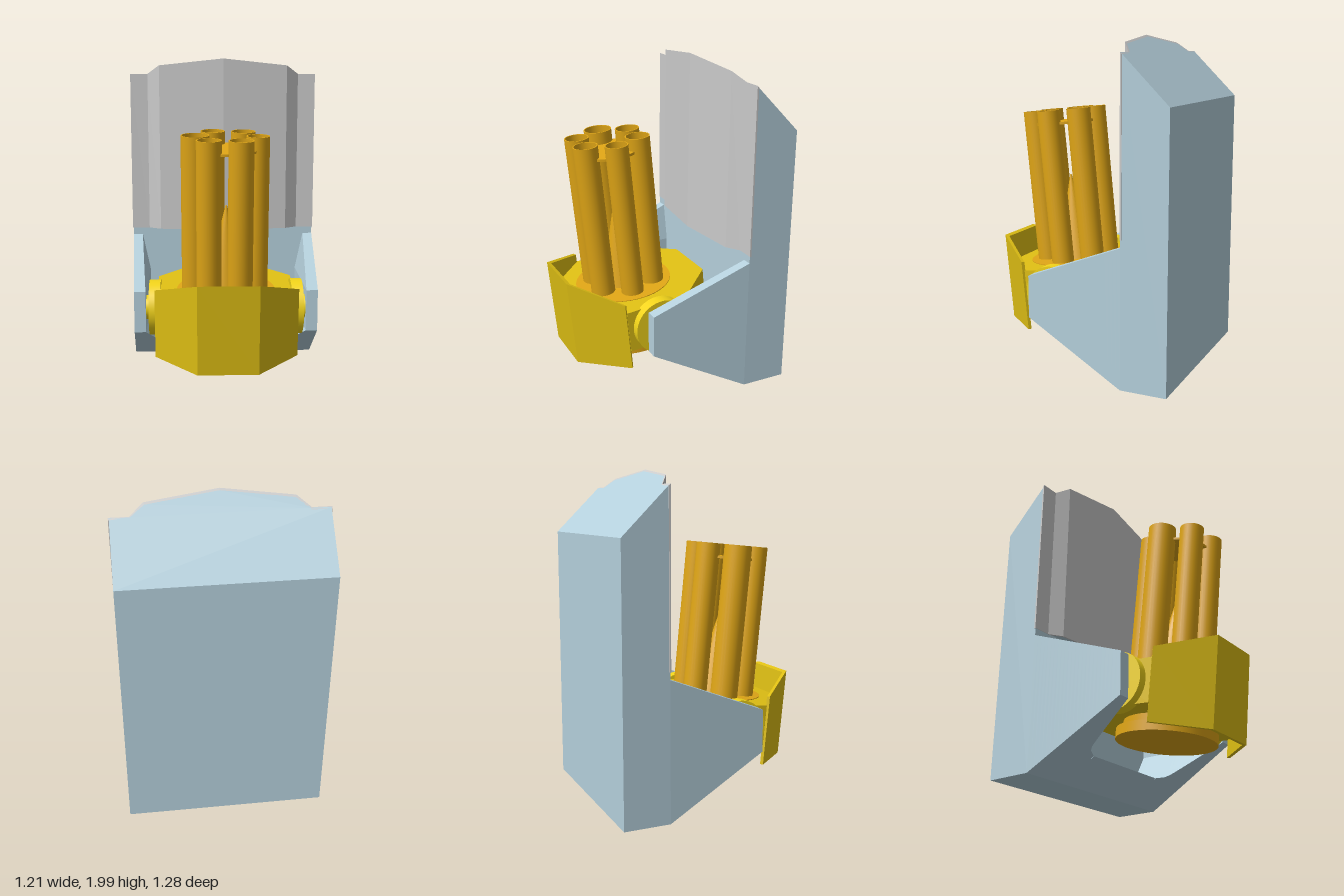
import * as THREE from 'three';

const mat = (color, extra = {}) => new THREE.MeshStandardMaterial({ color, ...extra });
const steel = mat(0xb5d0dc, { flatShading: true });
const grey = mat(0xcccccc, { flatShading: true });
const yellow = mat(0xe0c014, { flatShading: true });
const yellowRound = mat(0xf2d41a);
const orange = mat(0xe0a616);
const orangeThin = mat(0xe0a616, { side: THREE.DoubleSide });

function add(parent, name, geometry, material) {
  const mesh = new THREE.Mesh(geometry, material);
  mesh.name = name;
  parent.add(mesh);
  return mesh;
}

// Prism over a plan outline of [x, z] points; bottom and top heights follow z
function planPrism(points, bottom, top) {
  const shape = new THREE.Shape(points.map(([x, z]) => new THREE.Vector2(x, -z)));
  const geo = new THREE.ExtrudeGeometry(shape, { depth: 1, bevelEnabled: false });
  geo.rotateX(-Math.PI / 2);
  const p = geo.attributes.position;
  for (let i = 0; i < p.count; i++) {
    const z = p.getZ(i);
    p.setY(i, p.getY(i) < 0.5 ? bottom(z) : top(z));
  }
  geo.computeVertexNormals();
  return geo;
}

// Symmetric outline from its right half
const mirrored = (half) => [
  ...half.map(([x, z]) => [-x, z]).reverse(),
  ...half.filter(([x]) => x > 0),
];
const rect = (w, z0, z1) => [[-w, z0], [w, z0], [w, z1], [-w, z1]];

// Cradle limits along z
const Z0 = -0.36, Z1 = 0.25;
const lerp = THREE.MathUtils.lerp;
const along = (a, b) => (z) => lerp(a, b, (z - Z0) / (Z1 - Z0));
const armBottom = along(0.01, 0.345), armTop = along(0.84, 0.6), armOuter = along(0.6, 0.56);

// Inner wall of the cradle opening: [x, y] from floor to rim
const wall = [[0.3, 0], [0.3, 0.135], [0.35, 0.143], [0.385, 0.165], [0.41, 0.205],
  [0.49, 0.345], [0.49, 0.6], [0.54, 0.84]];
function wallX(y) {
  for (let i = 1; i < wall.length; i++) {
    const [x0, y0] = wall[i - 1], [x1, y1] = wall[i];
    if (y <= y1) return lerp(x0, x1, (y - y0) / (y1 - y0));
  }
  return wall[wall.length - 1][0];
}

// Tapering cradle arm lofted from cross-sections along z
function armGeometry(side) {
  const steps = 24, pos = [], index = [];
  const n = wall.length + 2;
  for (let k = 0; k <= steps; k++) {
    const z = lerp(Z0, Z1, k / steps);
    const b = armBottom(z), t = armTop(z), w = armOuter(z);
    const section = [[w, b], [w, t]];
    for (let i = wall.length - 1; i >= 0; i--) {
      const y = THREE.MathUtils.clamp(wall[i][1], b, t);
      section.push([wallX(y), y]);
    }
    section.forEach(([x, y]) => pos.push(side * x, y, z));
  }
  const tri = (a, b, c) => (side > 0 ? index.push(a, b, c) : index.push(a, c, b));
  for (let k = 0; k < steps; k++) {
    for (let i = 0; i < n; i++) {
      const a = k * n + i, b = k * n + ((i + 1) % n);
      tri(a, b, b + n);
      tri(a, b + n, a + n);
    }
  }
  const f = steps * n;
  tri(f, f + 1, f + 2);
  tri(f, f + 2, f + n - 1);
  const geo = new THREE.BufferGeometry();
  geo.setAttribute('position', new THREE.Float32BufferAttribute(pos, 3));
  geo.setIndex(index);
  const flat = geo.toNonIndexed();
  flat.computeVertexNormals();
  return flat;
}

function createMount() {
  const g = new THREE.Group();
  g.name = 'mount';
  const slope = (z) => 2.26 + z;

  // Back housing with sloping roof, and the part filling in behind the shield
  add(g, 'backHousing', planPrism(rect(0.6, -0.64, Z0), () => 0.01, slope), steel);
  const face = [[0, -0.27], [0.41, -0.312], [0.49, -0.361]];
  add(g, 'housingFront', planPrism(mirrored(face), () => 0.89, slope), steel);

  // Thin folded shield plate
  const front = [[0, -0.26], [0.415, -0.303], [0.493, -0.357], [0.605, -0.357]];
  const rear = [[0.605, -0.367], [0.49, -0.367], [0.41, -0.313], [0, -0.27]];
  const left = [...front, ...rear];
  const right = [...rear.slice(0, 3).reverse(), ...front.slice(1).reverse()].map(([x, z]) => [-x, z]);
  add(g, 'shieldPlate', planPrism([...left, ...right], () => 0.885, slope), grey);

  // Cradle floor and arms
  const floorEnd = Z0 + (0.125 / 0.335) * (Z1 - Z0);
  add(g, 'cradleFloor', planPrism(rect(0.3, Z0, floorEnd), armBottom, () => 0.135), steel);
  add(g, 'leftArm', armGeometry(1), steel);
  add(g, 'rightArm', armGeometry(-1), steel);
  return g;
}

function createTurret() {
  const g = new THREE.Group();
  g.name = 'turret';
  g.position.set(0, 0.475, 0.145);
  g.rotation.x = 0.1;

  // Octagonal body
  const oct = [[0.18, -0.44], [0.42, -0.2], [0.42, 0.2], [0.18, 0.44]];
  add(g, 'turretBody', planPrism(mirrored(oct), () => -0.13, () => 0.13), yellow);

  // Front armour wrapping three sides
  const outer = [[0.178, 0.467], [0.43, 0.21]], inner = [[0.415, 0.198], [0.17, 0.443]];
  const half = [...outer, ...inner];
  const armour = [...half, ...half.slice().reverse().map(([x, z]) => [-x, z])];
  add(g, 'frontArmour', planPrism(armour, () => -0.24, (z) => 0.303 + (z - 0.467) * 0.45), yellow);

  // Trunnions
  for (const s of [1, -1]) {
    for (const [name, r, x0, x1] of [['trunnionDisc', 0.17, 0.4, 0.47], ['trunnionPin', 0.075, 0.46, 0.49]]) {
      const pin = add(g, name, new THREE.CylinderGeometry(r, r, x1 - x0, 40), yellowRound);
      pin.rotation.z = Math.PI / 2;
      pin.position.x = s * (x0 + x1) / 2;
    }
  }

  // Rotating barrel cluster
  const cluster = new THREE.Group();
  cluster.name = 'barrelCluster';
  cluster.position.z = 0.04;
  g.add(cluster);
  const disc = (name, r0, r1, y0, y1) => {
    add(cluster, name, new THREE.CylinderGeometry(r1, r0, y1 - y0, 48), orange).position.y = (y0 + y1) / 2;
  };
  disc('turntable', 0.3, 0.3, 0.1, 0.134);
  disc('drumNeck', 0.26, 0.26, -0.19, -0.12);
  disc('drumBase', 0.3, 0.3, -0.24, -0.18);
  disc('core', 0.13, 0.005, 0.13, 0.66);
  disc('barrelSpacer', 0.19, 0.19, 0.99, 1.005);
  for (let i = 0; i < 6; i++) {
    const a = THREE.MathUtils.degToRad(5 + 60 * i);
    const r = i === 3 ? 0.085 : i === 0 ? 0.069 : 0.074;
    const profile = [[r, 0.12], [r, 1.08], [r, 1.08], [r - 0.007, 1.08], [r - 0.007, 1.08], [r - 0.007, 0.14]];
    const tube = new THREE.LatheGeometry(profile.map(([x, y]) => new THREE.Vector2(x, y)), 28);
    const barrel = add(cluster, 'barrel', tube, orangeThin);
    barrel.position.set(0.185 * Math.cos(a), 0, 0.185 * Math.sin(a));
    // Closed bottom of the bore, hiding the spacer
    const bore = add(barrel, 'boreEnd', new THREE.CircleGeometry(r, 28), orange);
    bore.rotation.x = -Math.PI / 2;
    bore.position.y = 0.14;
  }
  return g;
}

export function createModel() {
  const model = new THREE.Group();
  model.name = 'gunTurret';
  model.add(createMount(), createTurret());
  return model;
}
